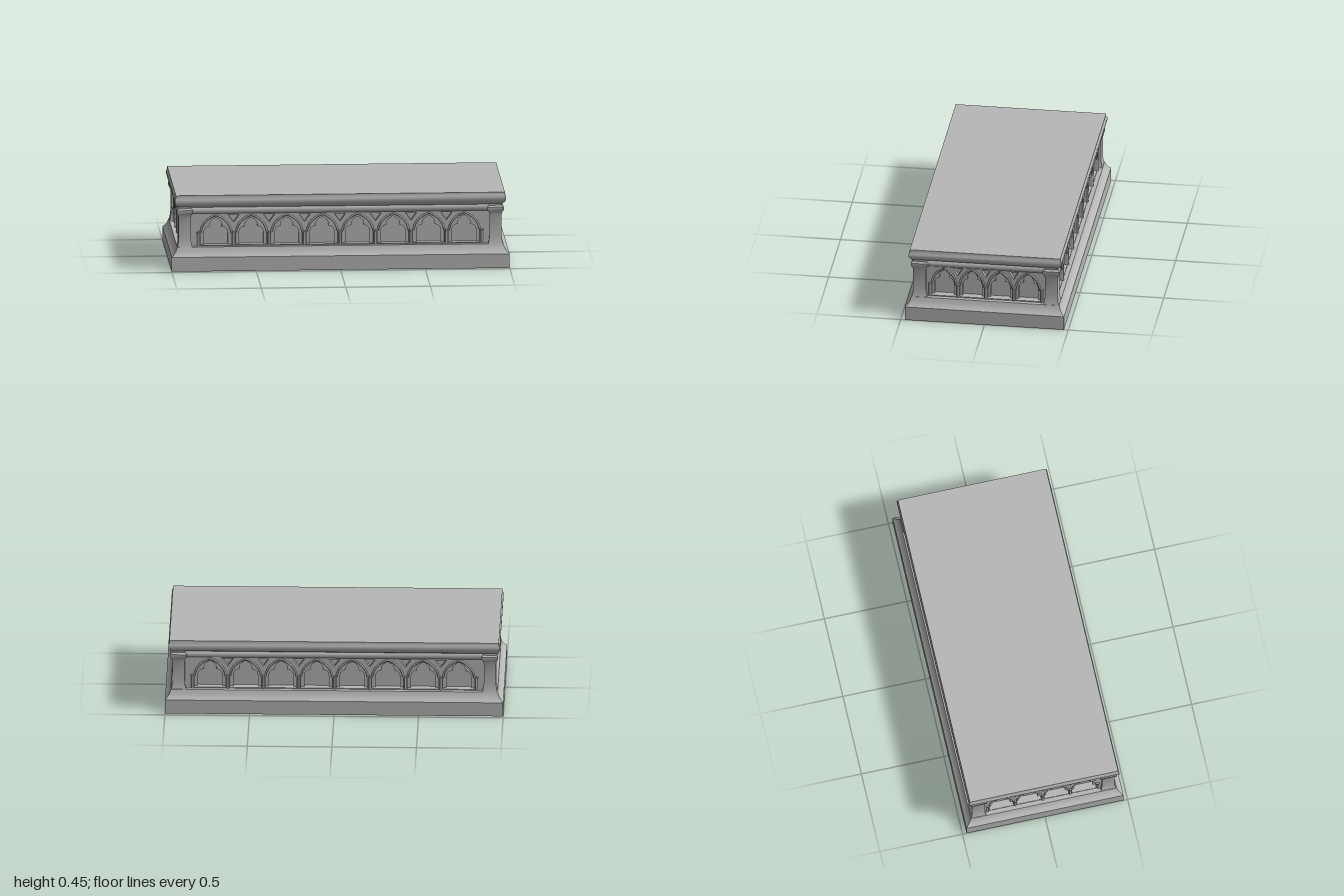
import * as THREE from 'three';
import { toCreasedNormals } from 'three/addons/utils/BufferGeometryUtils.js';

const HX = 1, HZ = 0.475;          // half footprint
const Y0 = 0.14, SPRING = 0.22, APEX = 0.327, TOP = 0.345;
const stone = new THREE.MeshStandardMaterial({ color: 0xb8b8b8 });
stone.name = 'grey stone';

function mesh(name, geometry, parent) {
  const m = new THREE.Mesh(geometry, stone);
  m.name = name;
  parent.add(m);
  return m;
}

// Closed rectangular moulding: the profile is a list of [inset, y] from bottom to top
function moulding(hx, hz, profile) {
  const pos = [];
  const corners = [[1, 1], [1, -1], [-1, -1], [-1, 1]];
  const pt = ([inset, y], k) => [corners[k % 4][0] * (hx - inset), y, corners[k % 4][1] * (hz - inset)];
  const quad = (a, b, c, d) => pos.push(...a, ...b, ...c, ...a, ...c, ...d);
  for (let i = 0; i < profile.length - 1; i++) {
    const lo = profile[i], hi = profile[i + 1];
    for (let k = 0; k < 4; k++) quad(pt(lo, k), pt(lo, k + 1), pt(hi, k + 1), pt(hi, k));
  }
  const first = profile[0], last = profile[profile.length - 1];
  quad(pt(last, 0), pt(last, 1), pt(last, 2), pt(last, 3));
  quad(pt(first, 3), pt(first, 2), pt(first, 1), pt(first, 0));
  const g = new THREE.BufferGeometry();
  g.setAttribute('position', new THREE.Float32BufferAttribute(pos, 3));
  return toCreasedNormals(g, 0.7);
}

// Plain pointed opening
function pointedArch(cx, w, y0, apex) {
  const cy = SPRING + 0.72 * (apex - SPRING);
  const p = new THREE.Path();
  p.moveTo(cx - w, y0);
  p.lineTo(cx + w, y0);
  p.lineTo(cx + w, SPRING);
  p.quadraticCurveTo(cx + w * 0.9, cy, cx, apex);
  p.quadraticCurveTo(cx - w * 0.9, cy, cx - w, SPRING);
  p.closePath();
  return p;
}

// Inner opening with a cusp on each side
function cuspedArch(cx, w, y0, apex) {
  const p = new THREE.Path();
  p.moveTo(cx - w, y0);
  p.lineTo(cx + w, y0);
  p.lineTo(cx + w, SPRING - 0.01);
  p.quadraticCurveTo(cx + w, SPRING + 0.03, cx + w * 0.5, SPRING + 0.032);
  p.quadraticCurveTo(cx + w * 0.6, apex - 0.02, cx, apex);
  p.quadraticCurveTo(cx - w * 0.6, apex - 0.02, cx - w * 0.5, SPRING + 0.032);
  p.quadraticCurveTo(cx - w, SPRING + 0.03, cx - w, SPRING - 0.01);
  p.closePath();
  return p;
}

function plate(half, holes, depth) {
  const s = new THREE.Shape();
  s.moveTo(-half, Y0 - 0.01);
  s.lineTo(half, Y0 - 0.01);
  s.lineTo(half, TOP);
  s.lineTo(-half, TOP);
  s.closePath();
  s.holes.push(...holes);
  const g = new THREE.ExtrudeGeometry(s, { depth, bevelEnabled: false, curveSegments: 7 });
  return toCreasedNormals(g, 0.6);
}

// Row of blind arches; local z = 0 is the back of the niches
function arcade(name, half, count, pitch) {
  const group = new THREE.Group();
  group.name = name;
  const outer = [], inner = [];
  const w = pitch * 0.44;
  for (let i = 0; i < count; i++) {
    const cx = (i - (count - 1) / 2) * pitch;
    outer.push(pointedArch(cx, w, Y0 + 0.006, APEX));
    inner.push(cuspedArch(cx, w * 0.78, Y0 + 0.006, APEX - 0.022));

    // Raised rib around each arch
    const cy = SPRING + 0.72 * (APEX - SPRING);
    for (const s of [-1, 1]) {
      const curve = new THREE.QuadraticBezierCurve3(
        new THREE.Vector3(cx + s * w, SPRING, 0.046),
        new THREE.Vector3(cx + s * w * 0.9, cy, 0.046),
        new THREE.Vector3(cx, APEX, 0.046));
      mesh('archRib', new THREE.TubeGeometry(curve, 8, 0.006, 6), group);
    }
  }
  for (let i = 0; i <= count; i++) {
    const x = (i - count / 2) * pitch;
    // Sunk triangles between neighbouring arches
    if (i > 0 && i < count) {
      const t = new THREE.Path();
      t.moveTo(x, 0.282);
      t.lineTo(x + pitch * 0.16, 0.328);
      t.lineTo(x - pitch * 0.16, 0.328);
      t.closePath();
      outer.push(t);
    }
    // Slim shafts under the springing points
    const shaft = mesh('shaft', new THREE.CylinderGeometry(0.007, 0.007, SPRING - Y0, 8), group);
    shaft.position.set(x, (SPRING + Y0) / 2, 0.045);
    const cap = mesh('shaftCapital', new THREE.CylinderGeometry(0.011, 0.007, 0.014, 8), group);
    cap.position.set(x, SPRING, 0.045);
  }
  mesh('cuspedTracery', plate(half, inner, 0.02), group);
  mesh('archScreen', plate(half, outer, 0.025), group).position.z = 0.02;
  return group;
}

export function createModel() {
  const model = new THREE.Group();
  model.name = 'stonePlinth';

  // Base with hollow chamfer
  mesh('base', moulding(HX, HZ, [[0, 0], [0, 0.085], [0.014, 0.098], [0.026, 0.115], [0.034, 0.14]]), model);

  // Core behind the niches
  mesh('core', moulding(HX - 0.105, HZ - 0.105, [[0, 0.12], [0, 0.36]]), model);

  // Corner piers with small capitals
  for (const sx of [-1, 1]) for (const sz of [-1, 1]) {
    const pier = mesh('cornerPier', moulding(0.036, 0.038, [
      [-0.009, 0.135], [-0.003, 0.16], [0, 0.19], [0, 0.315], [-0.006, 0.335],
      [-0.012, 0.345], [-0.012, 0.36], [-0.002, 0.37], [-0.002, 0.385]]), model);
    pier.position.set(sx * 0.92, 0, sz * 0.393);
  }

  // Cornice and top slab
  mesh('cornice', moulding(HX, HZ, [
    [0.07, 0.33], [0.056, 0.338], [0.05, 0.346], [0.05, 0.364], [0.058, 0.374],
    [0.04, 0.382], [0.027, 0.393], [0.02, 0.408], [0.02, 0.425], [0.026, 0.436], [0.026, 0.452]]), model);

  // Arcades on the long sides and the ends
  for (const s of [1, -1]) {
    const long = arcade(s > 0 ? 'frontArcade' : 'backArcade', 0.885, 8, 0.21);
    long.rotation.y = s > 0 ? 0 : Math.PI;
    long.position.z = s * (HZ - 0.105);
    const end = arcade(s > 0 ? 'leftArcade' : 'rightArcade', 0.356, 4, 0.167);
    end.rotation.y = s * Math.PI / 2;
    end.position.x = s * (HX - 0.105);
    model.add(long, end);
  }
  return model;
}
